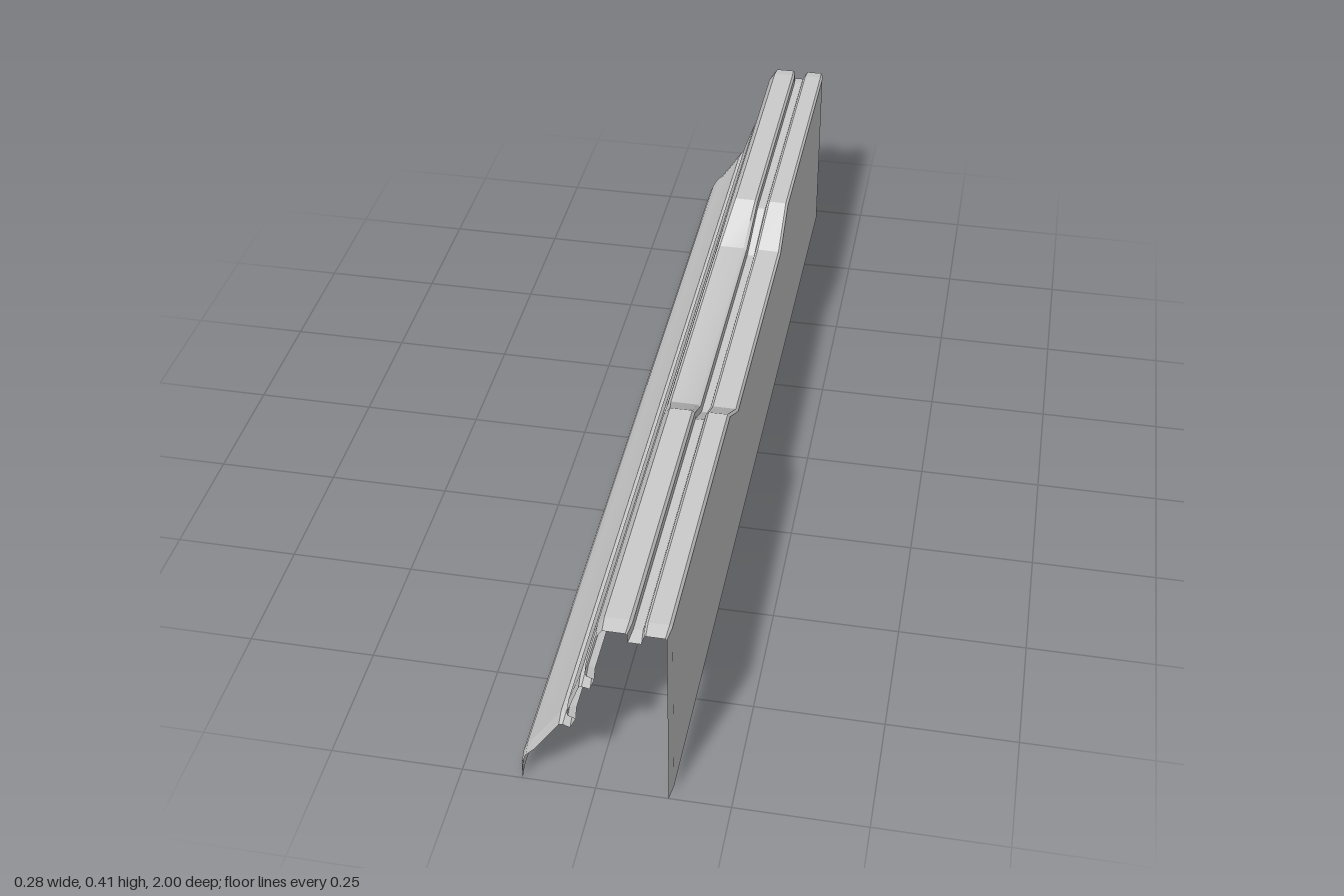
import * as THREE from 'three';
import { toCreasedNormals } from 'three/addons/utils/BufferGeometryUtils.js';

// Ribbed sloping side, from the bottom edge up to the roof
const SIDE = [[-0.14, 0], [-0.14, 0.04], [-0.131, 0.065], [-0.113, 0.085], [-0.065, 0.158],
  [-0.055, 0.161], [-0.044, 0.156], [-0.036, 0.173], [-0.048, 0.178], [-0.051, 0.187],
  [-0.026, 0.259], [-0.018, 0.263], [-0.005, 0.26], [0.001, 0.278], [-0.011, 0.283], [-0.015, 0.292]];
// Grooved roof and flat wall, at full height and in the lowered middle
const HIGH = [...SIDE, [0.008, 0.386], [0.021, 0.405], [0.065, 0.405], [0.07, 0.4], [0.071, 0.385],
  [0.088, 0.385], [0.092, 0.4], [0.097, 0.405], [0.134, 0.405], [0.139, 0.4], [0.139, 0]];
const LOW = [...SIDE, [-0.003, 0.336], [0.003, 0.341], [0.056, 0.341], [0.063, 0.337], [0.065, 0.324],
  [0.08, 0.324], [0.083, 0.337], [0.088, 0.341], [0.134, 0.341], [0.139, 0.336], [0.139, 0]];

// Shift an open profile towards its inside, with mitred corners
function inset(profile, d) {
  const pts = profile.map(([x, y]) => new THREE.Vector2(x, y));
  const normal = (a, b) => {
    const t = b.clone().sub(a).normalize();
    return new THREE.Vector2(t.y, -t.x);
  };
  return pts.map((p, i) => {
    const n0 = normal(pts[Math.max(i - 1, 0)], pts[Math.max(i, 1)]);
    const last = pts.length - 1;
    const n1 = normal(pts[Math.min(i, last - 1)], pts[Math.min(i + 1, last)]);
    const m = n0.clone().add(n1).multiplyScalar(d / (1 + n0.dot(n1)));
    return [p.x + m.x, p.y + m.y];
  });
}

// Skin a row of [z, profile] sections, ordered from back to front
function loft(name, sections) {
  const n = sections[0][1].length;
  const position = sections.flatMap(([z, profile]) => profile.flatMap(([x, y]) => [x, y, z]));
  const index = [];
  for (let j = 0; j < sections.length - 1; j++) {
    for (let i = 0; i < n - 1; i++) {
      const a = j * n + i, b = a + 1, c = a + n, d = c + 1;
      index.push(a, c, b, b, c, d);
    }
  }
  const geometry = new THREE.BufferGeometry();
  geometry.setAttribute('position', new THREE.Float32BufferAttribute(position, 3));
  geometry.setIndex(index);
  const material = new THREE.MeshStandardMaterial({ color: 0xcccccc, side: THREE.DoubleSide });
  const mesh = new THREE.Mesh(toCreasedNormals(geometry, 0.52), material);
  mesh.name = name;
  return mesh;
}

export function createModel() {
  const group = new THREE.Group();
  group.name = 'ribbedCover';

  // Long sheet with the dip in the middle
  group.add(loft('coverPanel', [
    [-0.97, HIGH], [-0.385, HIGH], [-0.285, LOW], [0.285, LOW], [0.385, HIGH], [0.97, HIGH],
  ]));

  // Narrow bands that taper inwards at both ends
  const END = inset(HIGH, 0.004);
  group.add(loft('backEndBand', [[-1, END], [-0.97, HIGH]]));
  group.add(loft('frontEndBand', [[0.97, HIGH], [1, END]]));
  return group;
}
